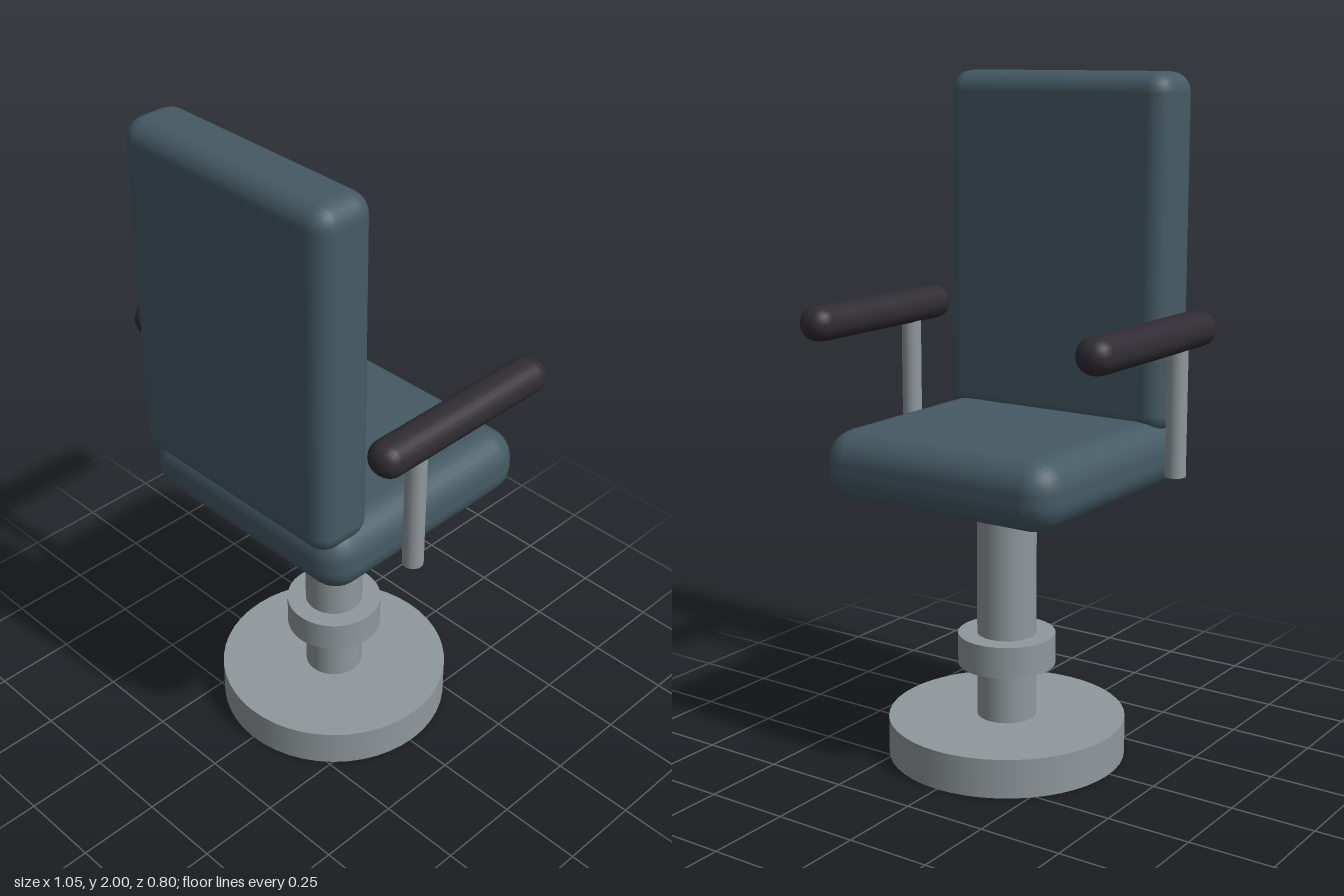
import * as THREE from 'three';
import { RoundedBoxGeometry } from 'three/addons/geometries/RoundedBoxGeometry.js';

const material = (name, color) => {
  const m = new THREE.MeshStandardMaterial({ color });
  m.name = name;
  return m;
};

export function createModel() {
  const chair = new THREE.Group();
  chair.name = 'chair';
  const upholstery = material('blueGreyUpholstery', 0x455a64);
  const metal = material('greyMetal', 0x90989c);
  const padding = material('darkPadding', 0x2f2c33);

  const add = (name, geometry, mat, x, y, z) => {
    const mesh = new THREE.Mesh(geometry, mat);
    mesh.name = name;
    mesh.position.set(x, y, z);
    chair.add(mesh);
  };
  // Upright cylinder spanning y0 to y1
  const cylinder = (name, r, y0, y1, x, z, sides = 48) =>
    add(name, new THREE.CylinderGeometry(r, r, y1 - y0, sides), metal, x, (y0 + y1) / 2, z);
  const cushion = (name, w, h, d, r, mat, x, y, z, segments = 3) =>
    add(name, new RoundedBoxGeometry(w, h, d, segments, r), mat, x, y, z);

  // Pedestal
  const pedestalZ = -0.013;
  cylinder('base', 0.353, 0, 0.116, 0, pedestalZ);
  cylinder('column', 0.088, 0.1, 0.85, 0, pedestalZ);
  cylinder('collar', 0.145, 0.277, 0.371, 0, pedestalZ);

  // Seat and backrest
  cushion('seat', 0.786, 0.205, 0.77, 0.09, upholstery, 0, 0.903, -0.015);
  cushion('backrest', 0.756, 1.036, 0.19, 0.06, upholstery, 0, 1.482, 0.305);

  // Mirrored arms
  for (const [side, x] of [['left', 0.468], ['right', -0.468]]) {
    cylinder(side + 'ArmPost', 0.03, 0.88, 1.28, x, 0.147, 24);
    cushion(side + 'Armrest', 0.11, 0.103, 0.642, 0.05, padding, x, 1.289, -0.016);
  }
  return chair;
}
